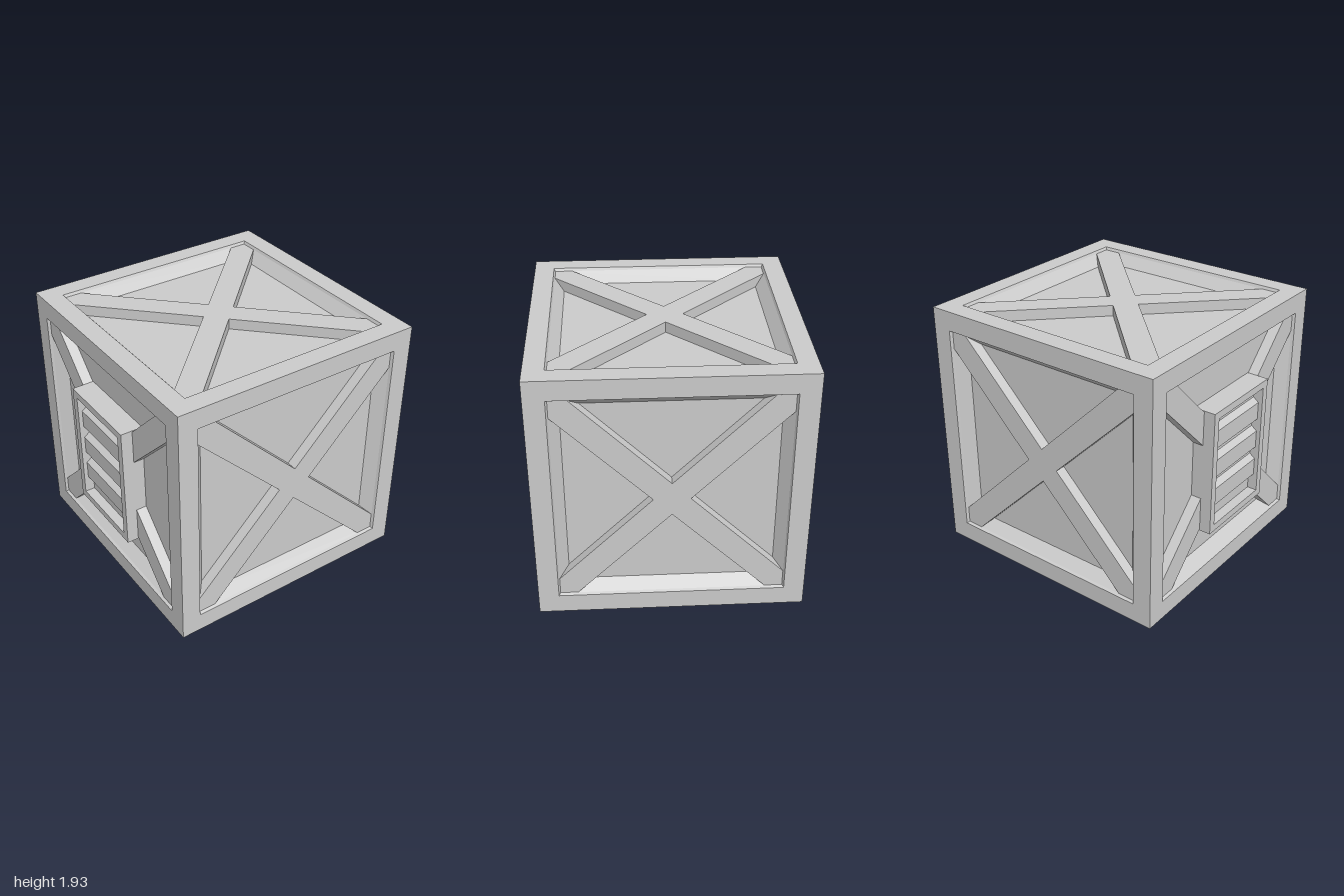
import * as THREE from 'three';

const HALF = 0.967;      // half the crate's edge
const FLOOR = -0.1;      // depth of the recessed panels
const BRACE_TOP = -0.02; // depth of the brace surface

const material = new THREE.MeshStandardMaterial({ color: 0xcccccc, flatShading: true });

function part(name, geometry) {
  const mesh = new THREE.Mesh(geometry, material);
  mesh.name = name;
  return mesh;
}

// Extrude a flat shape so that it lies in the xz plane, from height y0 to y1
function slab(shape, y0, y1) {
  return new THREE.ExtrudeGeometry(shape, { depth: y1 - y0, bevelEnabled: false })
    .rotateX(-Math.PI / 2)
    .translate(0, y0, 0);
}

function rectangle(hx, hy, Type = THREE.Shape) {
  const points = [[-hx, -hy], [hx, -hy], [hx, hy], [-hx, hy]];
  return new Type(points.map(([x, y]) => new THREE.Vector2(x, y)));
}

// Square frame, bevelled recess and floor: a four-sided lathe
function frameGeometry() {
  const profile = [[HALF, 0], [0.82, 0], [0.81, BRACE_TOP], [0.74, FLOOR], [0, FLOOR]]
    .map(([r, y]) => new THREE.Vector2(r * Math.SQRT2, y));
  const geometry = new THREE.LatheGeometry(profile, 4, Math.PI / 4).toNonIndexed();
  geometry.computeVertexNormals();
  return geometry;
}

// Diagonal cross with its ends squared off in the corners
function braceGeometry() {
  const a = 0.13, h = 0.808;
  const points = [];
  for (let i = 0; i < 4; i++) {
    for (const [x, y] of [[a, 0], [h, h - a], [h, h], [h - a, h]]) {
      points.push(new THREE.Vector2(x, y).rotateAround(new THREE.Vector2(), i * Math.PI / 2));
    }
  }
  return slab(new THREE.Shape(points), FLOOR, BRACE_TOP);
}

// Raised vent box: local x runs up the crate, local y points outwards
function createVent() {
  const vent = new THREE.Group();
  vent.name = 'vent';
  const rim = rectangle(0.485, 0.345);
  rim.holes.push(rectangle(0.43, 0.29, THREE.Path));
  vent.add(part('ventFrame', slab(rim, FLOOR, 0.067)));
  vent.add(part('ventBack', slab(rectangle(0.435, 0.295), FLOOR, -0.008)));

  // Louvres with sloping tops
  const profile = new THREE.Shape([[-0.085, -0.01], [0.085, -0.01], [0.05, 0.035], [-0.085, 0.035]]
    .map(([x, y]) => new THREE.Vector2(x, y)));
  const louvre = new THREE.ExtrudeGeometry(profile, { depth: 0.58, bevelEnabled: false })
    .translate(0, 0, -0.29);
  for (let i = -1; i <= 1; i++) {
    const slat = part('ventLouvre', louvre);
    slat.position.x = 0.02 + i * 0.235;
    vent.add(slat);
  }
  vent.position.y = HALF;
  return vent;
}

export function createModel() {
  const crate = new THREE.Group();
  crate.name = 'crate';
  const frame = frameGeometry().translate(0, HALF, 0);
  const brace = braceGeometry().translate(0, HALF, 0);

  // Six equal sides, each turned from facing up
  const q = Math.PI / 2;
  const sides = {
    top: [0, 0], bottom: [2 * q, 0], front: [q, 0], back: [-q, 0], left: [0, -q], right: [0, q],
  };
  for (const [name, [rx, rz]] of Object.entries(sides)) {
    const side = new THREE.Group();
    side.name = name + 'Side';
    side.rotation.set(rx, 0, rz);
    side.add(part('framedPanel', frame), part('crossBrace', brace));
    if (name === 'right') side.add(createVent());
    crate.add(side);
  }
  crate.position.set(0.033, HALF, 0);

  const model = new THREE.Group();
  model.add(crate);
  return model;
}
